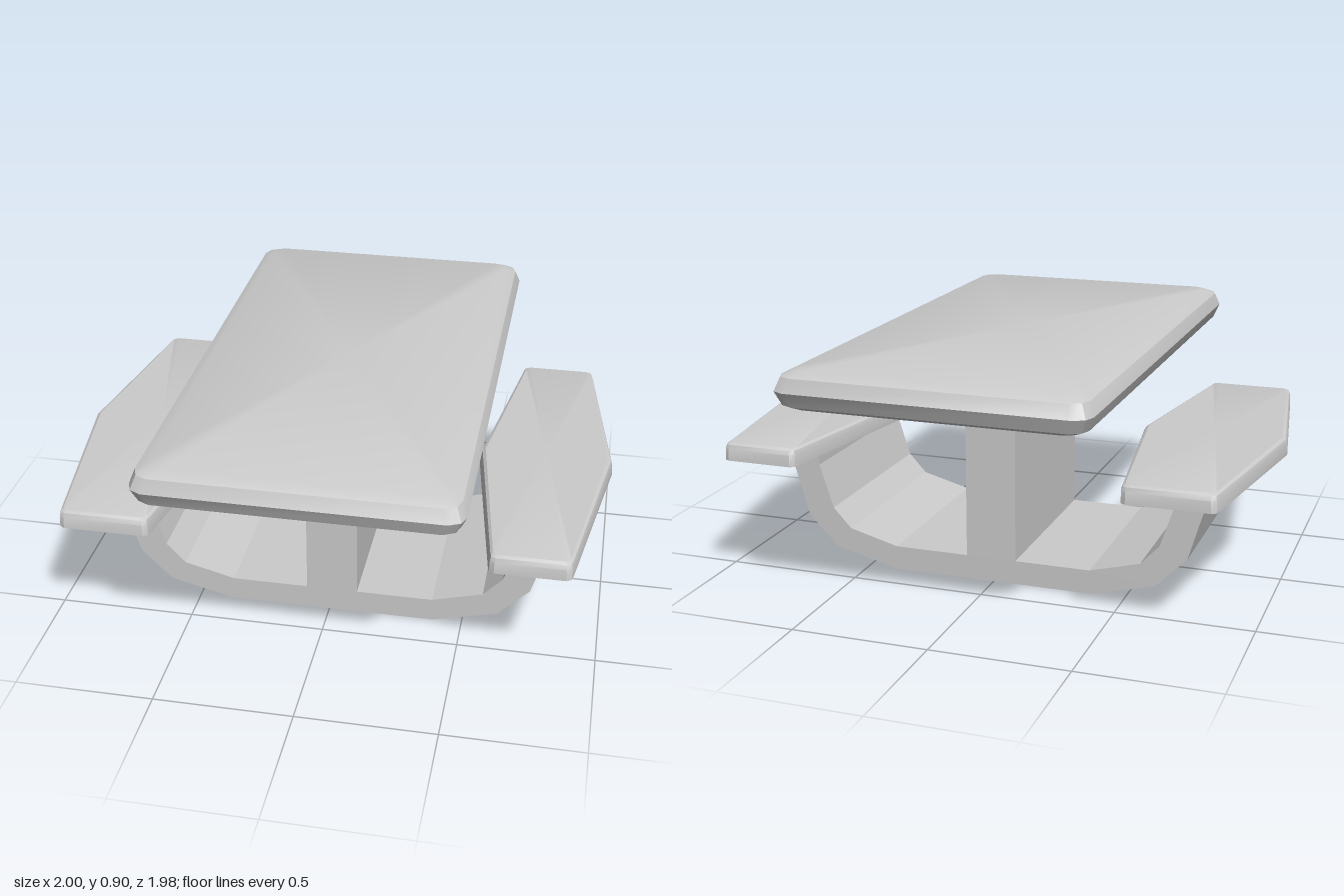
import * as THREE from 'three';
import { toCreasedNormals } from 'three/addons/utils/BufferGeometryUtils.js';

const material = new THREE.MeshStandardMaterial({ color: 0xcccccc });

// Full outline (x, z) from one quadrant's points, running from +x towards +z
function mirrorOutline(quadrant) {
  const half = [...quadrant, ...quadrant.map(([x, z]) => [-x, z]).reverse()];
  const all = [...half, ...half.map(([x, z]) => [x, -z]).reverse()];
  // drop points doubled on the axes
  return all.filter(([x, z], i) => {
    const [px, pz] = all[(i + all.length - 1) % all.length];
    return Math.hypot(x - px, z - pz) > 1e-6;
  });
}

// Slab with shaped edges: layers are [height, inset], bottom to top
function slab(name, outline, layers, crease) {
  const hx = Math.max(...outline.map((p) => p[0]));
  const hz = Math.max(...outline.map((p) => p[1]));
  const n = outline.length;
  const positions = [];
  const index = [];
  for (const [y, inset] of layers) {
    for (const [x, z] of outline) {
      positions.push(x * (1 - inset / hx), y, z * (1 - inset / hz));
    }
  }
  const bottom = layers.length * n;
  const top = bottom + 1;
  positions.push(0, layers[0][0], 0, 0, layers[layers.length - 1][0], 0);
  for (let i = 0; i < n; i++) {
    const j = (i + 1) % n;
    for (let k = 0; k < layers.length - 1; k++) {
      const a = k * n + i, b = k * n + j;
      index.push(a, a + n, b, b, a + n, b + n);
    }
    const last = (layers.length - 1) * n;
    index.push(bottom, i, j, top, last + j, last + i);
  }
  const geometry = new THREE.BufferGeometry();
  geometry.setAttribute('position', new THREE.Float32BufferAttribute(positions, 3));
  geometry.setIndex(index);
  const mesh = new THREE.Mesh(toCreasedNormals(geometry, crease), material);
  mesh.name = name;
  return mesh;
}

export function createModel() {
  const group = new THREE.Group();
  group.name = 'picnicTable';

  // Table top with a rounded rim and clipped corners
  const topOutline = mirrorOutline([[0.55, 0.93], [0.535, 0.97], [0.495, 0.99]]);
  const tableTop = slab('tableTop', topOutline,
    [[0.765, 0.05], [0.78, 0.02], [0.83, 0], [0.878, 0.018], [0.897, 0.055]], 0.5);
  tableTop.position.x = 0.007;
  group.add(tableTop);

  // Long six-sided benches, widest in the middle
  const benches = [['rightBench', -0.732, 0.268], ['leftBench', 0.754, 0.246]];
  for (const [name, x, half] of benches) {
    const outline = mirrorOutline([
      [half, 0], [half - 0.102, 0.685], [half - 0.108, 0.71], [half - 0.125, 0.72],
    ]);
    const bench = slab(name, outline,
      [[0.483, 0], [0.525, 0.002], [0.54, 0.008], [0.547, 0.02]], 0.5);
    bench.position.x = x;
    group.add(bench);
  }

  // Base: curved cradle carrying the benches, with the central post
  const armOuter = [[0.38, 0], [0.62, 0.06], [0.735, 0.175], [0.795, 0.38], [0.795, 0.49]];
  const armInner = [[0.688, 0.49], [0.688, 0.38], [0.635, 0.215], [0.565, 0.14],
    [0.378, 0.09], [0.095, 0.09], [0.095, 0.775]];
  const side = [...armOuter, ...armInner];
  const profile = [...side, ...side.map(([x, y]) => [-x, y]).reverse()];
  const shape = new THREE.Shape(profile.map(([x, y]) => new THREE.Vector2(x, y)));
  const depth = 0.73;
  const base = new THREE.Mesh(
    new THREE.ExtrudeGeometry(shape, { depth, bevelEnabled: false }), material);
  base.name = 'base';
  base.position.set(0.01, 0, -depth / 2);
  group.add(base);

  return group;
}
